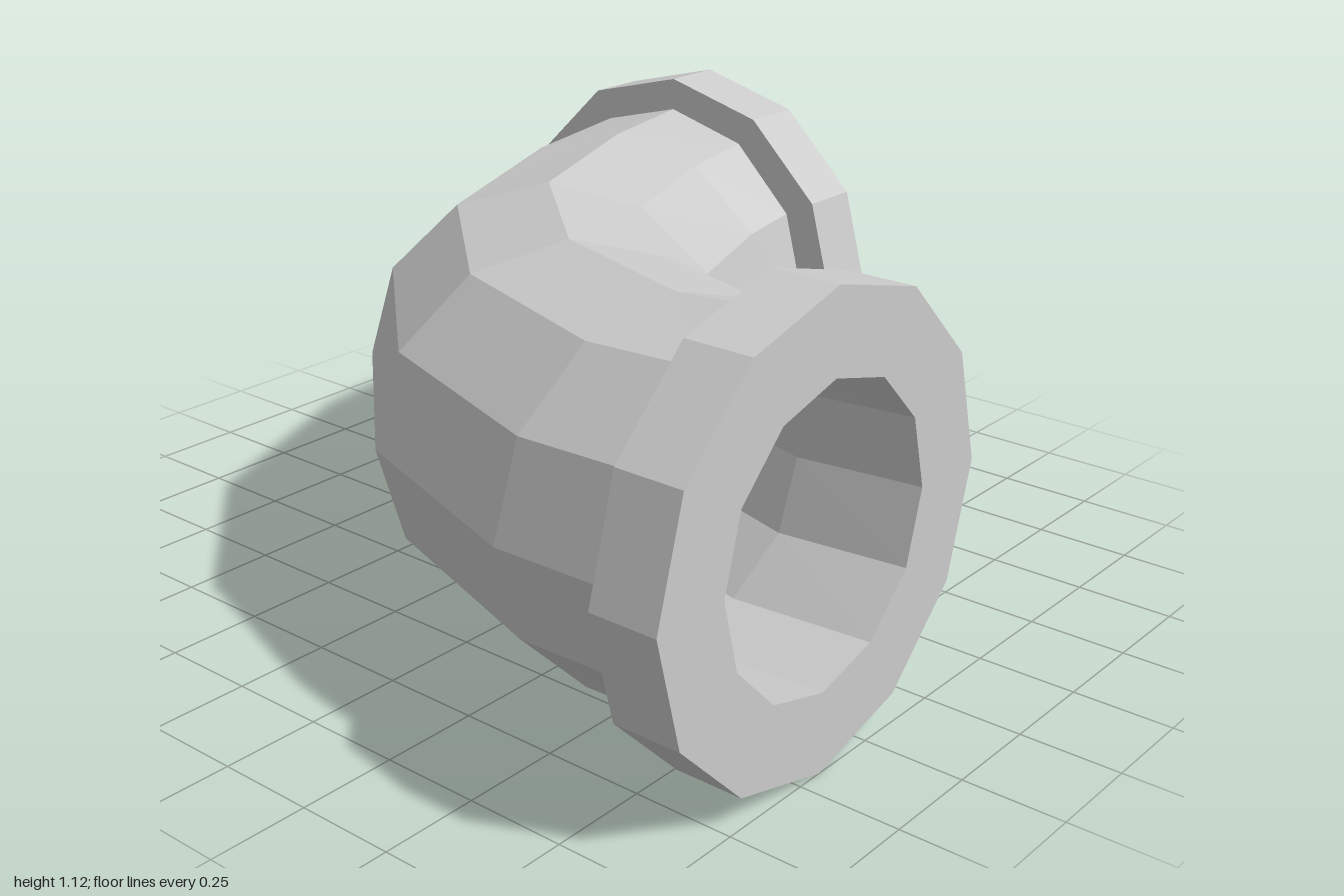
import * as THREE from 'three';

const SIDES = 12;
const material = new THREE.MeshStandardMaterial({ color: 0xcccccc, flatShading: true });

// Ring standing upright: centre (x, y, z), horizontal direction (ux, uz), radius and height factor
const ring = (x, y, z, ux, uz, r, tall = 1) => {
  const l = Math.hypot(ux, uz);
  return { x, y, z, ux: ux / l, uz: uz / l, r, tall };
};

// Skin a series of rings; reversing the series turns the surface inwards
function loft(name, rings) {
  const pos = [], index = [];
  rings.forEach((k, i) => {
    for (let j = 0; j < SIDES; j++) {
      const a = (j / SIDES) * Math.PI * 2;
      const c = k.r * Math.cos(a);
      pos.push(k.x + c * k.ux, k.y + k.r * k.tall * Math.sin(a), k.z + c * k.uz);
      if (i === rings.length - 1) continue;
      const p = i * SIDES + j, q = i * SIDES + ((j + 1) % SIDES);
      index.push(p, q, q + SIDES, p, q + SIDES, p + SIDES);
    }
  });
  const g = new THREE.BufferGeometry();
  g.setAttribute('position', new THREE.Float32BufferAttribute(pos, 3));
  g.setIndex(index);
  g.computeVertexNormals();
  const mesh = new THREE.Mesh(g, material);
  mesh.name = name;
  return mesh;
}

export function createModel() {
  const group = new THREE.Group();
  group.name = 'pipeElbow';
  const OUTER = 0.472, BORE = 0.36, FLANGE = 0.57, Y = 0.562, BEND_Y = 0.54;

  // Rings at the two mouths, d = distance from the middle along the pipe axis
  const rightEnd = (d, r, tall) => ring(d, Y, 0.43, 0, 1, r, tall);
  const backEnd = (d, r, tall) => ring(-0.43, Y, -d, -1, 0, r, tall);

  // Rings of the bend: outer-side point and inner-side point in plan
  const bend = r => [
    [0.46, 0.875, 0.69, -0.04],
    [-0.11, 0.673, 0.4, -0.122],
    [-0.6, 0.22, 0.152, -0.35],
    [-0.872, -0.44, 0.038, -0.69],
  ].map(([ox, oz, ix, iz]) =>
    ring((ox + ix) / 2, BEND_Y, (oz + iz) / 2, ox - ix, oz - iz, r));

  // Pipe wall and the bore running through it
  group.add(loft('pipeBend', [rightEnd(0.83, OUTER), ...bend(OUTER), backEnd(0.83, OUTER)]));
  group.add(loft('bore', [rightEnd(1, BORE), ...bend(BORE), backEnd(1, BORE)].reverse()));

  // Flange section: bore edge, rim, back face down to the pipe
  const section = [[1, BORE, 1], [1, FLANGE, 0.982], [0.83, FLANGE, 0.982], [0.83, OUTER - 0.01, 1]];
  group.add(loft('rightFlange', section.map(s => rightEnd(...s))));
  group.add(loft('backFlange', section.map(s => backEnd(...s)).reverse()));

  return group;
}
